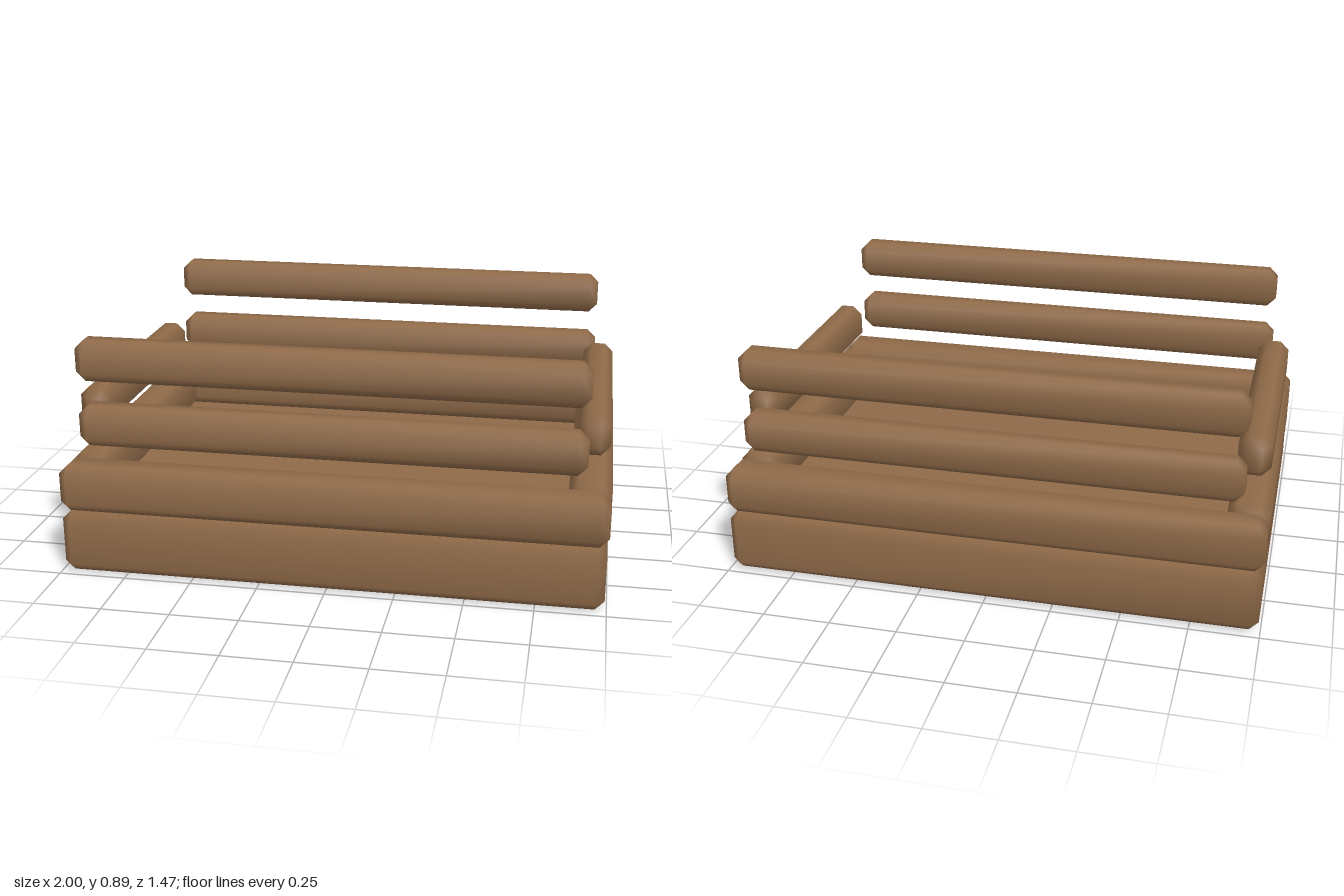
import * as THREE from 'three';
import { mergeVertices } from 'three/addons/utils/BufferGeometryUtils.js';
import { ConvexGeometry } from 'three/addons/geometries/ConvexGeometry.js';

const wood = new THREE.MeshStandardMaterial({ color: 0x8f6a48 });
wood.name = 'brown wood';

// Box with every edge cut by one chamfer, shaded smoothly
function chamferBox(w, h, d, c = 0.034) {
  const points = [];
  for (const sx of [-1, 1]) for (const sy of [-1, 1]) for (const sz of [-1, 1]) {
    const x = w / 2, y = h / 2, z = d / 2;
    points.push(
      new THREE.Vector3(sx * x, sy * (y - c), sz * (z - c)),
      new THREE.Vector3(sx * (x - c), sy * y, sz * (z - c)),
      new THREE.Vector3(sx * (x - c), sy * (y - c), sz * z));
  }
  let geometry = new ConvexGeometry(points);
  geometry.deleteAttribute('normal');
  geometry = mergeVertices(geometry, 1e-4);
  geometry.computeVertexNormals();
  return geometry;
}

export function createModel() {
  const model = new THREE.Group();
  model.name = 'slattedCrate';

  const addBeam = (name, size, x, y, z) => {
    const mesh = new THREE.Mesh(chamferBox(...size), wood);
    mesh.name = name;
    mesh.position.set(x, y, z);
    model.add(mesh);
  };

  // Solid base slab
  addBeam('base', [1.985, 0.235, 1.472], 0, 0.1175, 0);

  for (const s of [1, -1]) {
    const end = s > 0 ? 'front' : 'back';
    const side = s > 0 ? 'left' : 'right';

    // Thick curb resting on the base
    addBeam(end + 'Curb', [1.995, 0.176, 0.153], 0, 0.323, s * 0.654);
    addBeam(side + 'Curb', [0.153, 0.176, 1.152], s * 0.9235, 0.323, 0);

    // Thin floating rails: two on the long sides, one on the short sides
    addBeam(end + 'LowerRail', [1.82, 0.152, 0.12], 0, 0.566, s * 0.656);
    addBeam(end + 'UpperRail', [1.82, 0.152, 0.12], 0, 0.81, s * 0.656);
    addBeam(side + 'Rail', [0.12, 0.152, 1.0], s * 0.925, 0.566, 0);
  }
  return model;
}
